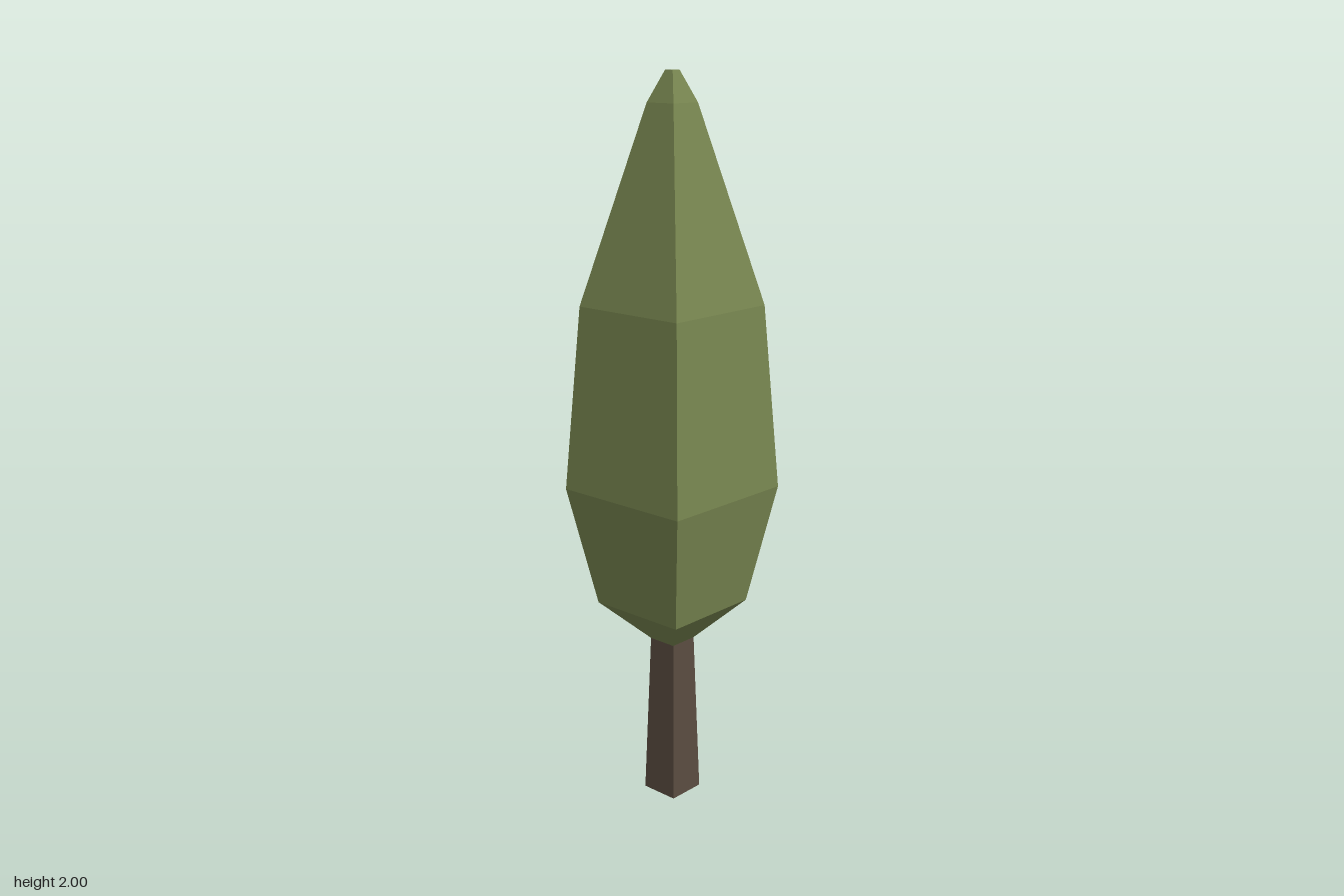
import * as THREE from 'three';

// Four-sided closed solid from [halfWidth, y] pairs, listed bottom to top
function squareLoft(name, color, profile) {
  const points = profile.map(([w, y]) => new THREE.Vector2(w * Math.SQRT2, y));
  points.unshift(new THREE.Vector2(0, profile[0][1]));
  points.push(new THREE.Vector2(0, profile[profile.length - 1][1]));
  const geometry = new THREE.LatheGeometry(points, 4, Math.PI / 4);
  const material = new THREE.MeshStandardMaterial({ color, flatShading: true });
  const mesh = new THREE.Mesh(geometry, material);
  mesh.name = name;
  return mesh;
}

export function createModel() {
  const tree = new THREE.Group();
  tree.name = 'tree';

  // Slightly tapered trunk
  tree.add(squareLoft('trunk', 0x5a4c40, [
    [0.055, 0], [0.042, 0.465],
  ]));

  // Slender faceted crown
  tree.add(squareLoft('foliage', 0x788650, [
    [0.042, 0.46], [0.145, 0.57], [0.204, 0.9],
    [0.172, 1.4], [0.046, 1.92], [0.013, 2],
  ]));

  return tree;
}
